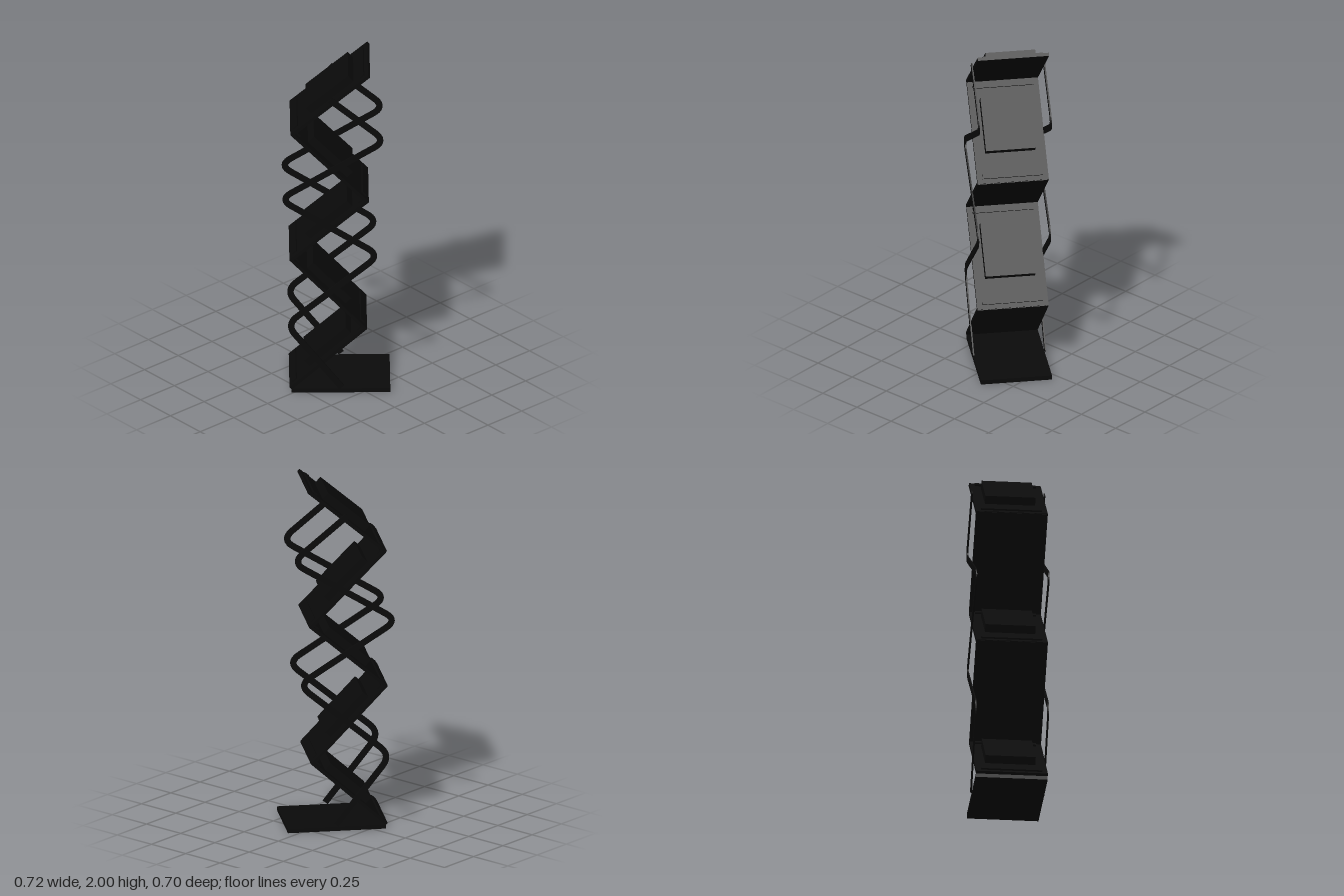
import * as THREE from 'three';

const material = new THREE.MeshStandardMaterial({ color: 0x0a0a0a });

function box(name, w, h, d, x, y, z) {
  const mesh = new THREE.Mesh(new THREE.BoxGeometry(w, h, d), material);
  mesh.name = name;
  mesh.position.set(x, y, z);
  return mesh;
}

// One sloping shelf between two folds, with its raised holder on the upper side
function shelf([u0, y0], [u1, y1]) {
  const group = new THREE.Group();
  group.name = 'shelf';
  const up = Math.sign(u1 - u0);
  const length = Math.hypot(u1 - u0, y1 - y0);
  group.position.set((u0 + u1) / 2, (y0 + y1) / 2, 0);
  group.rotation.z = Math.atan2((y1 - y0) * up, (u1 - u0) * up);
  group.add(box('panel', length + 0.012, 0.018, 0.4, 0, 0, 0));
  group.add(box('literatureHolder', 0.31, 0.05, 0.28, up * 0.025, 0.03, 0));
  for (const side of [-1, 1]) {
    group.add(box('endStrip', 0.03, 0.012, 0.34, side * (length / 2 - 0.035), 0.012, 0));
  }
  return group;
}

// Flat bar that follows a polyline with rounded bends
function zigzagBar(points, width, depth, cut) {
  const p = points.map(([x, y]) => new THREE.Vector2(x, y));
  const towards = (a, b) => a.clone().add(b.clone().sub(a).setLength(cut));
  const line = [p[0]];
  for (let i = 1; i < p.length - 1; i++) {
    const bend = new THREE.QuadraticBezierCurve(towards(p[i], p[i - 1]), p[i], towards(p[i], p[i + 1]));
    line.push(...bend.getPoints(10));
  }
  line.push(p[p.length - 1]);
  const offset = (sign) => line.map((q, i) => {
    const a = line[Math.max(i - 1, 0)];
    const b = line[Math.min(i + 1, line.length - 1)];
    const t = b.clone().sub(a).normalize();
    return new THREE.Vector2(q.x - t.y * sign * width / 2, q.y + t.x * sign * width / 2);
  });
  const outline = new THREE.Shape([...offset(1), ...offset(-1).reverse()]);
  return new THREE.ExtrudeGeometry(outline, { depth, bevelEnabled: false });
}

export function createModel() {
  const model = new THREE.Group();
  model.name = 'foldingLiteratureStand';
  const stand = new THREE.Group();
  stand.name = 'stand';
  stand.rotation.y = -0.713;
  model.add(stand);

  // Foot plate
  stand.add(box('basePlate', 0.55, 0.025, 0.4, 0.03, 0.0125, 0));

  // Zigzag of shelves
  const folds = [[-0.245, 0.03], [0.165, 0.4], [-0.245, 0.835], [0.175, 1.2], [-0.24, 1.625], [0.182, 1.987]];
  for (let i = 0; i < folds.length - 1; i++) stand.add(shelf(folds[i], folds[i + 1]));

  // Counter-folded side bars
  const path = [[0.035, 0.035], [-0.273, 0.43], [0.246, 0.865], [-0.311, 1.22], [0.281, 1.585], [-0.03, 1.845]];
  const geometry = zigzagBar(path, 0.035, 0.008, 0.08);
  for (const z of [-0.206, 0.198]) {
    const bar = new THREE.Mesh(geometry, material);
    bar.name = 'sideBar';
    bar.position.z = z;
    stand.add(bar);
  }
  return model;
}
